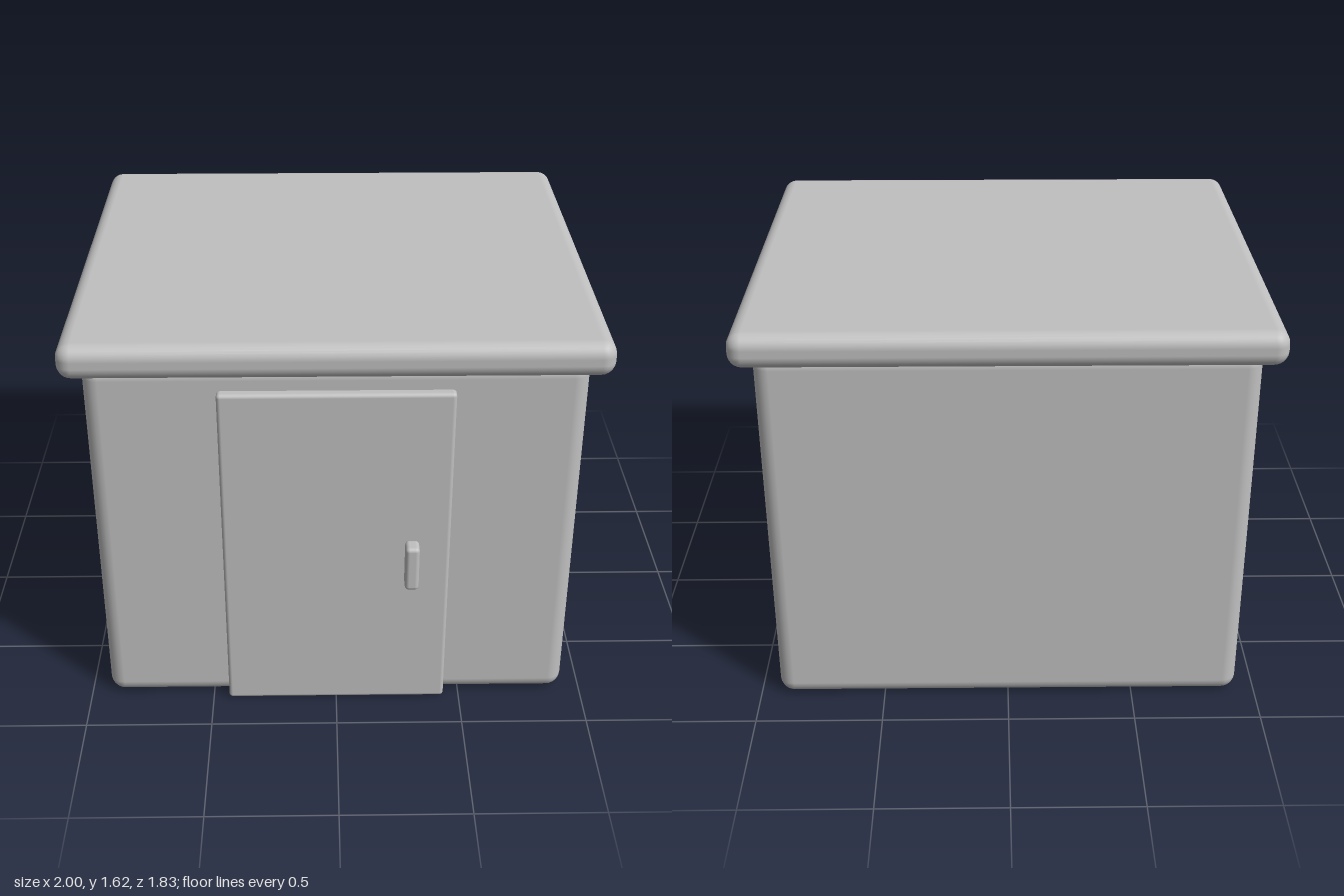
import * as THREE from 'three';
import { RoundedBoxGeometry } from 'three/addons/geometries/RoundedBoxGeometry.js';

export function createModel() {
  const group = new THREE.Group();
  group.name = 'shed';
  const grey = new THREE.MeshStandardMaterial({ color: 0xc0c0c0 });
  grey.name = 'plain grey';

  // Rounded block spanning two opposite corners
  const block = (name, min, max, radius) => {
    const size = max.map((v, i) => v - min[i]);
    const mesh = new THREE.Mesh(new RoundedBoxGeometry(...size, 3, radius), grey);
    mesh.position.set(...max.map((v, i) => (v + min[i]) / 2));
    mesh.name = name;
    group.add(mesh);
  };

  // Main walls
  block('walls', [-0.925, 0, -0.84], [0.925, 1.515, 0.81], 0.06);
  // Overhanging roof slab
  block('roof', [-1, 1.487, -0.915], [1, 1.622, 0.88], 0.055);
  // Door on the front, with its upright handle
  block('door', [-0.437, 0.002, 0.795], [0.437, 1.415, 0.845], 0.015);
  block('doorHandle', [0.262, 0.59, 0.846], [0.316, 0.783, 0.917], 0.016);

  return group;
}
